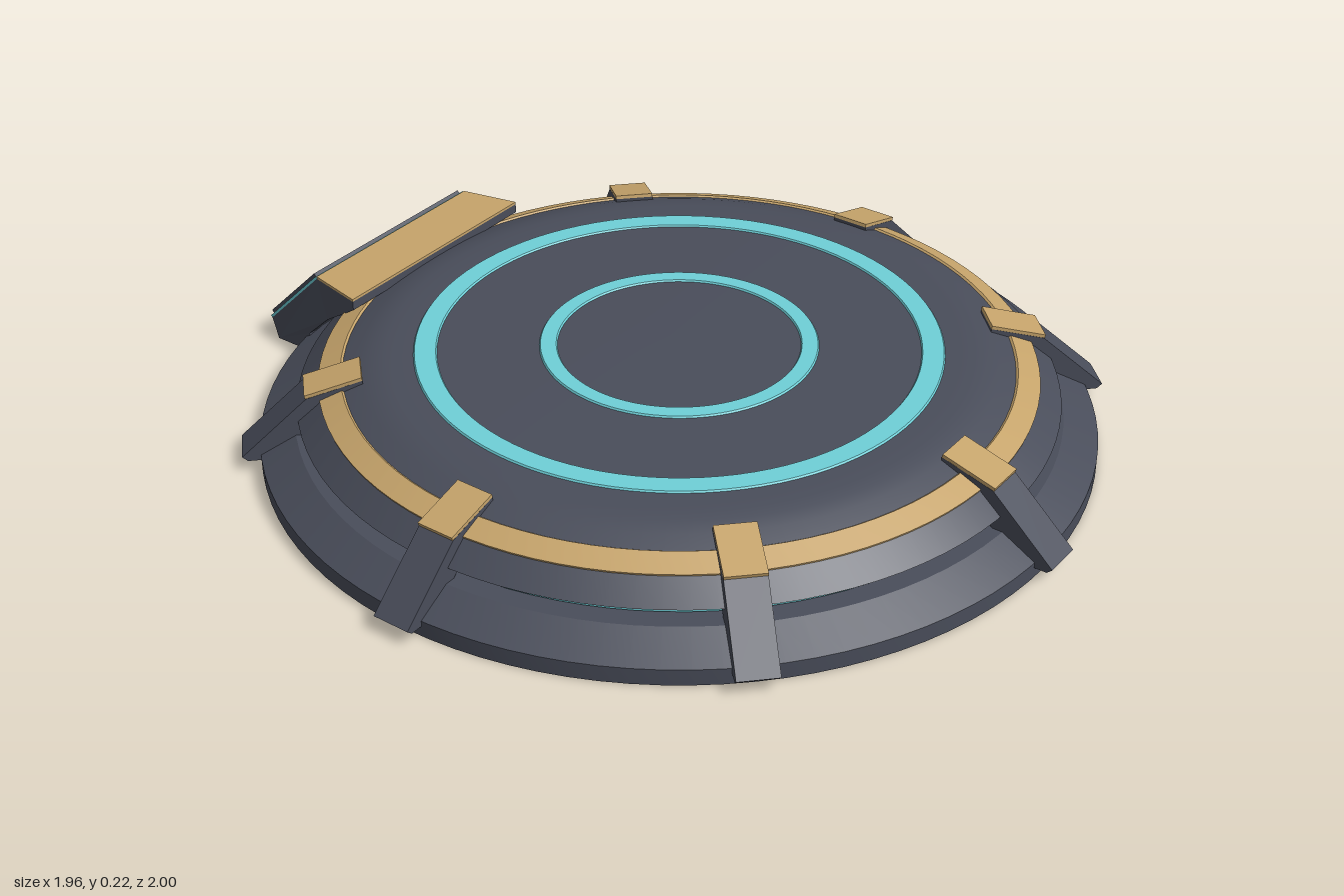
import * as THREE from 'three';
import { toCreasedNormals } from 'three/addons/utils/BufferGeometryUtils.js';

const mat = (name, color) => Object.assign(new THREE.MeshStandardMaterial({ color }), { name });

export function createModel() {
  const slate = mat('slate grey', 0x494d5a);
  const gold = mat('muted gold', 0xc6a46b);
  const cyan = mat('glow cyan', 0x6fd0d8);

  const root = new THREE.Group();
  root.name = 'platform';
  root.position.z = 0.02;

  const add = (parent, name, geometry, material) => {
    const mesh = new THREE.Mesh(geometry, material);
    mesh.name = name;
    parent.add(mesh);
    return mesh;
  };
  // Turned part from [radius, height] pairs, listed bottom to top
  const turned = (name, pts, material) => {
    const g = new THREE.LatheGeometry(pts.map(p => new THREE.Vector2(...p)), 96);
    return add(root, name, toCreasedNormals(g, 0.3), material);
  };
  // Side profile in [outward, height], extruded sideways; halfWidth may vary outward
  const slab = (pts, halfWidth) => {
    const shape = new THREE.Shape(pts.map(p => new THREE.Vector2(...p)));
    const g = new THREE.ExtrudeGeometry(shape, { depth: 2, bevelEnabled: false });
    g.translate(0, 0, -1).rotateY(-Math.PI / 2);
    const p = g.attributes.position;
    for (let i = 0; i < p.count; i++) p.setX(i, p.getX(i) * halfWidth(p.getZ(i)));
    g.computeVertexNormals();
    return g;
  };
  // Thin plate lying on the line a-b of a side profile
  const plate = (a, b, thick, halfWidth) => {
    const len = Math.hypot(b[0] - a[0], b[1] - a[1]);
    const n = [(a[1] - b[1]) / len * thick, (b[0] - a[0]) / len * thick];
    return slab([a, b, [b[0] + n[0], b[1] + n[1]], [a[0] + n[0], a[1] + n[1]]], halfWidth);
  };

  // Disc body: base, recessed light band, upper deck
  turned('base', [[0, 0], [0.94, 0], [0.94, 0.038], [0.86, 0.082], [0.8, 0.082]], slate);
  turned('lightBand', [[0.8, 0.082], [0.82, 0.088], [0.82, 0.112], [0.8, 0.118]], cyan);
  turned('deck', [[0.79, 0.117], [0.853, 0.117], [0.8, 0.163], [0.75, 0.183], [0.71, 0.199],
    [0.68, 0.208], [0.65, 0.212], [0.61, 0.213], [0, 0.213]], slate);
  turned('goldBand', [[0.801, 0.16], [0.803, 0.166], [0.753, 0.187], [0.747, 0.183]], gold);

  // Glowing rings on the deck
  for (const [name, inner, outer] of [['innerRing', 0.27, 0.313], ['outerRing', 0.537, 0.592]]) {
    turned(name, [[outer, 0.211], [outer - 0.004, 0.217], [inner + 0.004, 0.217], [inner, 0.211]], cyan);
  }

  // Seven clamps around the rim, leaving the back free
  const clampWidth = () => 0.045;
  const clampBody = slab([[0.705, 0.19], [0.705, 0.208], [0.83, 0.173], [0.98, 0.036],
    [0.968, 0.025], [0.9, 0.025], [0.78, 0.13]], clampWidth);
  const clampCap = plate([0.705, 0.208], [0.832, 0.173], 0.008, clampWidth);
  for (let k = 0; k < 8; k++) {
    if (k === 4) continue;
    const clamp = new THREE.Group();
    clamp.name = 'clamp';
    clamp.rotation.y = k * Math.PI / 4;
    add(clamp, 'clampBody', clampBody, slate);
    add(clamp, 'clampCap', clampCap, gold);
    root.add(clamp);
  }

  // Wedge console at the back
  const taper = u => 0.265 + 0.03 * THREE.MathUtils.clamp((0.85 - u) / 0.14, 0, 1);
  const consoleGroup = new THREE.Group();
  consoleGroup.name = 'console';
  consoleGroup.rotation.y = Math.PI;
  const top = [0.85, 0.212], low = [1.011, 0.052];
  add(consoleGroup, 'consoleBody', slab([[0.71, 0.19], [0.71, 0.212], top, low,
    [0.995, 0], [0.89, 0], [0.89, 0.05], [0.82, 0.115]], taper), slate);
  add(consoleGroup, 'consoleTop', plate([0.71, 0.212], top, 0.006, taper), gold);
  add(consoleGroup, 'panelGlow', plate(top, low, 0.006, () => 0.265), cyan);
  add(consoleGroup, 'panel', plate([0.858, 0.211], [1.01, 0.06], 0.01, () => 0.258), slate);
  root.add(consoleGroup);

  const model = new THREE.Group();
  model.name = 'model';
  model.add(root);
  return model;
}
